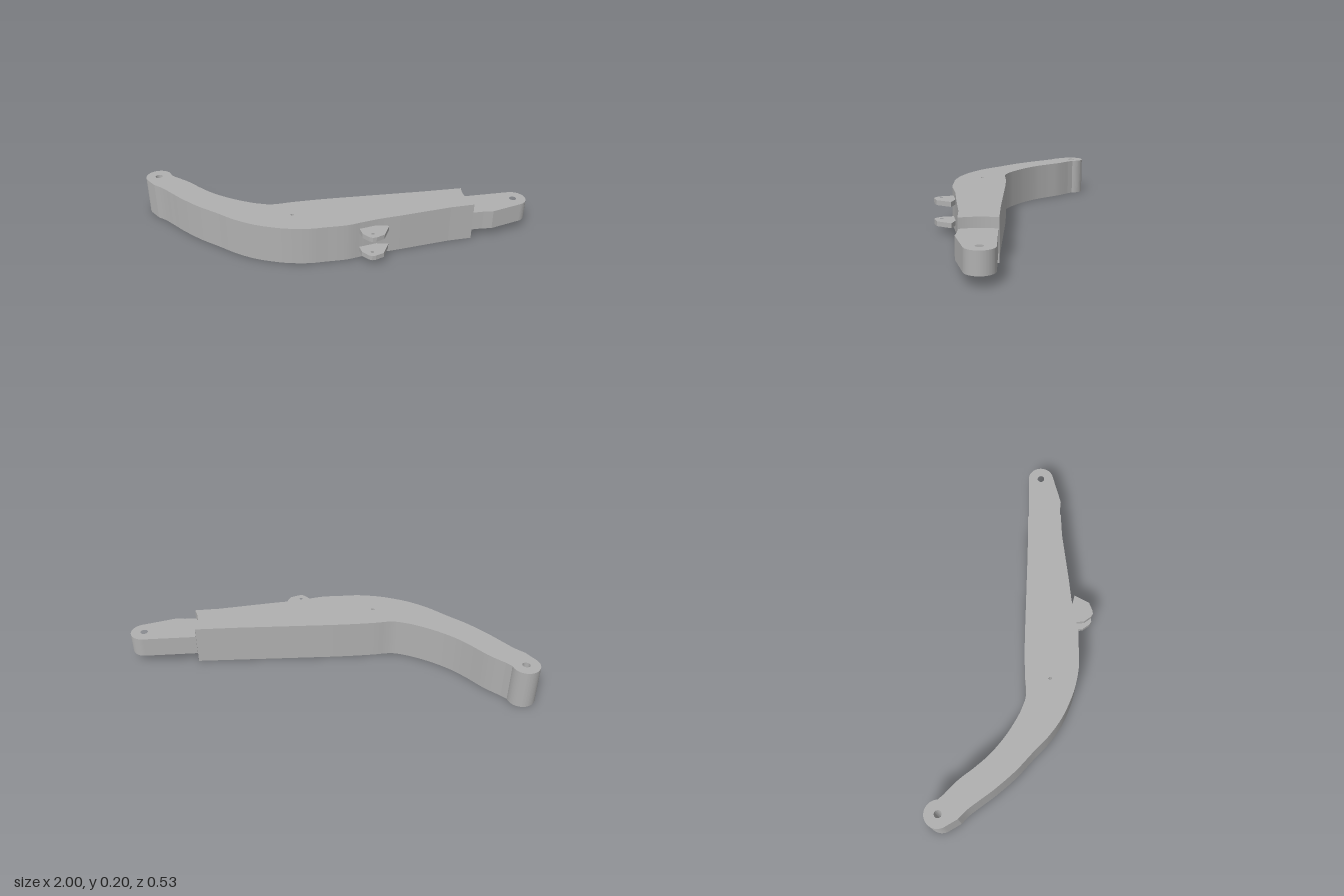
import * as THREE from 'three';

const HEIGHT = 0.197;
const PIN_Z = -0.2, PIN_X = 0.932, BOSS_R = 0.066;

const points = (list) => list.map(([x, z]) => new THREE.Vector2(x, z));

function addHole(shape, x, z, r) {
  const hole = new THREE.Path();
  hole.absarc(x, z, r, 0, Math.PI * 2, true);
  shape.holes.push(hole);
}

// Extrudes a plan drawn in (x, z) from y = bottom to y = top
function plate(name, shape, bottom, top, material) {
  const geometry = new THREE.ExtrudeGeometry(shape, {
    depth: top - bottom, bevelEnabled: false, curveSegments: 16,
  });
  geometry.rotateX(Math.PI / 2).translate(0, top, 0);
  const mesh = new THREE.Mesh(geometry, material);
  mesh.name = name;
  return mesh;
}

// Curved arm with a round boss at one end and a concave shoulder at the other
function armShape() {
  const s = new THREE.Shape();
  s.absarc(-PIN_X, PIN_Z, BOSS_R, 2.4, 5.98, false);
  // back edge
  s.lineTo(-0.84, -0.2);
  s.splineThru(points([[-0.76, -0.155], [-0.68, -0.095], [-0.6, -0.043], [-0.5, 0.002],
    [-0.4, 0.032], [-0.34, 0.042], [-0.3, 0.044], [-0.26, 0.036], [-0.2, 0.015], [-0.1, -0.014], [0, -0.04]]));
  s.lineTo(0.663, -0.196);
  // shoulder centred on the tongue pin
  s.absarc(PIN_X, PIN_Z, 0.27, Math.PI, 2.49, true);
  // front edge
  s.lineTo(0.6, 0.0);
  s.lineTo(0.35, 0.1);
  s.splineThru(points([[0.25, 0.138], [0.17, 0.175], [0.1, 0.208], [0, 0.235], [-0.08, 0.255], [-0.17, 0.262],
    [-0.25, 0.257], [-0.35, 0.238], [-0.45, 0.2], [-0.55, 0.145], [-0.65, 0.092], [-0.75, 0.025],
    [-0.82, -0.03], [-0.88, -0.077], [-0.93, -0.105]]));
  s.closePath();
  addHole(s, -PIN_X, PIN_Z, 0.018);
  addHole(s, -0.175, 0.135, 0.008);
  return s;
}

// Narrow tongue ending in a rounded eye
function tongueShape() {
  const s = new THREE.Shape();
  s.moveTo(0.663, -0.196);
  s.lineTo(0.66, -0.1);
  s.lineTo(0.7, -0.04);
  s.lineTo(0.717, -0.038);
  s.lineTo(0.77, -0.052);
  s.lineTo(0.82, -0.06);
  s.absarc(PIN_X, PIN_Z, BOSS_R, 1.0, -1.83, true);
  s.closePath();
  addHole(s, PIN_X, PIN_Z, 0.018);
  return s;
}

// Small pointed bracket lug
function lugShape() {
  const s = new THREE.Shape(points([[0.155, 0.18], [0.172, 0.224], [0.205, 0.251], [0.222, 0.257],
    [0.24, 0.251], [0.277, 0.224], [0.297, 0.143], [0.23, 0.143]]));
  addHole(s, 0.221, 0.221, 0.008);
  return s;
}

export function createModel() {
  const model = new THREE.Group();
  model.name = 'linkArm';
  const grey = new THREE.MeshStandardMaterial({ color: 0xb0b0b0 });
  grey.name = 'plain grey';

  model.add(plate('arm', armShape(), 0, HEIGHT, grey));
  model.add(plate('tongue', tongueShape(), 0.049, 0.149, grey));
  model.add(plate('lowerLug', lugShape(), 0.035, 0.059, grey));
  model.add(plate('upperLug', lugShape(), 0.139, 0.163, grey));
  return model;
}
